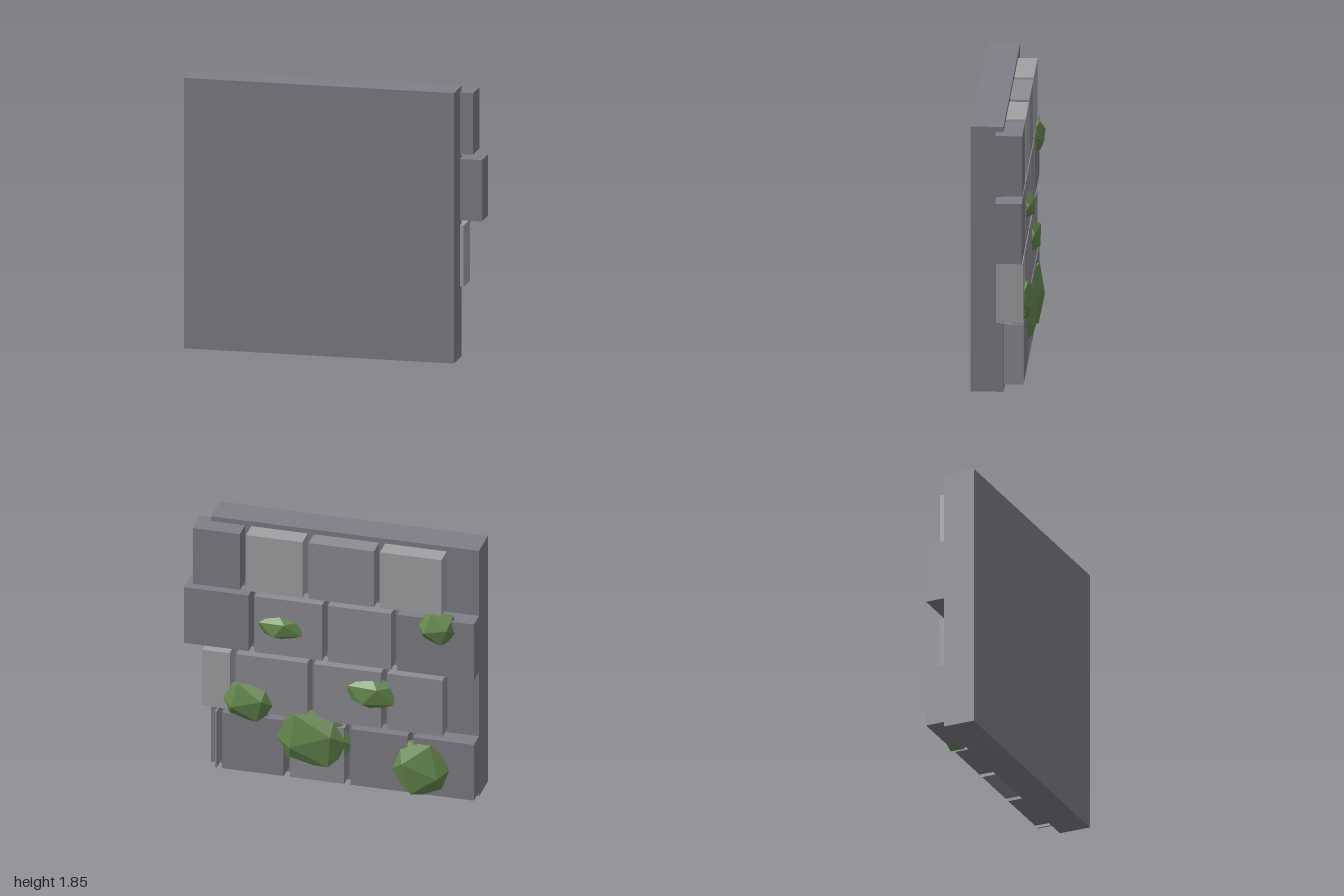
import * as THREE from 'three';

const material = (color) => new THREE.MeshStandardMaterial({ color, flatShading: true });
const DARK = material(0x807d86);
const MID = material(0x8d8c92);
const LIGHT = material(0xa1a0a3);
const MOSS = material(0x64874e);

// Box spanning x0..x1, y0..y1, z0..z1
function block(name, x0, x1, y0, y1, z0, z1, mat) {
  const mesh = new THREE.Mesh(new THREE.BoxGeometry(x1 - x0, y1 - y0, z1 - z0), mat);
  mesh.position.set((x0 + x1) / 2, (y0 + y1) / 2, (z0 + z1) / 2);
  mesh.name = name;
  return mesh;
}

// Flattened faceted clump, twisted in the wall plane, then fitted to half-sizes rx, ry, rz
function mossClump(x, y, rx, ry, twist) {
  const rz = 0.08;
  const geo = new THREE.IcosahedronGeometry(1, 0).rotateZ(twist);
  geo.computeBoundingBox();
  const { max } = geo.boundingBox;
  geo.scale(rx / max.x, ry / max.y, rz / max.z);
  geo.computeVertexNormals();
  const mesh = new THREE.Mesh(geo, MOSS);
  mesh.position.set(x, y, -0.12);
  mesh.name = 'mossClump';
  return mesh;
}

export function createModel() {
  const model = new THREE.Group();
  model.name = 'stoneWall';

  // Backing slab
  model.add(block('wallSlab', -1, 0.85, 0, 1.85, -0.02, 0.2, DARK));

  // Courses of stones from bottom to top: [x0, x1, material]
  const courses = [
    [[0.775, 0.787, MID], [0.313, 0.738, DARK], [-0.105, 0.27, MID], [-0.54, -0.148, DARK], [-1, -0.583, DARK]],
    [[0.685, 0.875, LIGHT], [0.15, 0.642, MID], [-0.36, 0.105, MID], [-0.783, -0.403, MID]],
    [[0.555, 1, DARK], [0.047, 0.515, MID], [-0.428, 0.007, MID], [-1, -0.47, DARK]],
    [[0.615, 0.94, DARK], [0.183, 0.573, LIGHT], [-0.31, 0.14, MID], [-0.777, -0.352, LIGHT]],
  ];
  courses.forEach((stones, row) => {
    const course = new THREE.Group();
    course.name = 'stoneCourse' + (row + 1);
    const y = 0.033 + row * 0.454;
    for (const [x0, x1, mat] of stones) {
      course.add(block('stone', x0, x1, y, y + 0.42, -0.15, 0.03, mat));
    }
    model.add(course);
  });

  // Moss clumps: x, y, half width, half height, twist
  const moss = new THREE.Group();
  moss.name = 'moss';
  [
    [0.336, 1.145, 0.15, 0.1, 0.4],
    [-0.743, 1.29, 0.15, 0.11, 1.3],
    [0.56, 0.56, 0.21, 0.135, 1.2],
    [-0.29, 0.735, 0.18, 0.13, 0.5],
    [0.12, 0.335, 0.3, 0.205, 1.1],
    [-0.634, 0.22, 0.24, 0.19, 1.9],
  ].forEach((args) => moss.add(mossClump(...args)));
  model.add(moss);

  return model;
}
